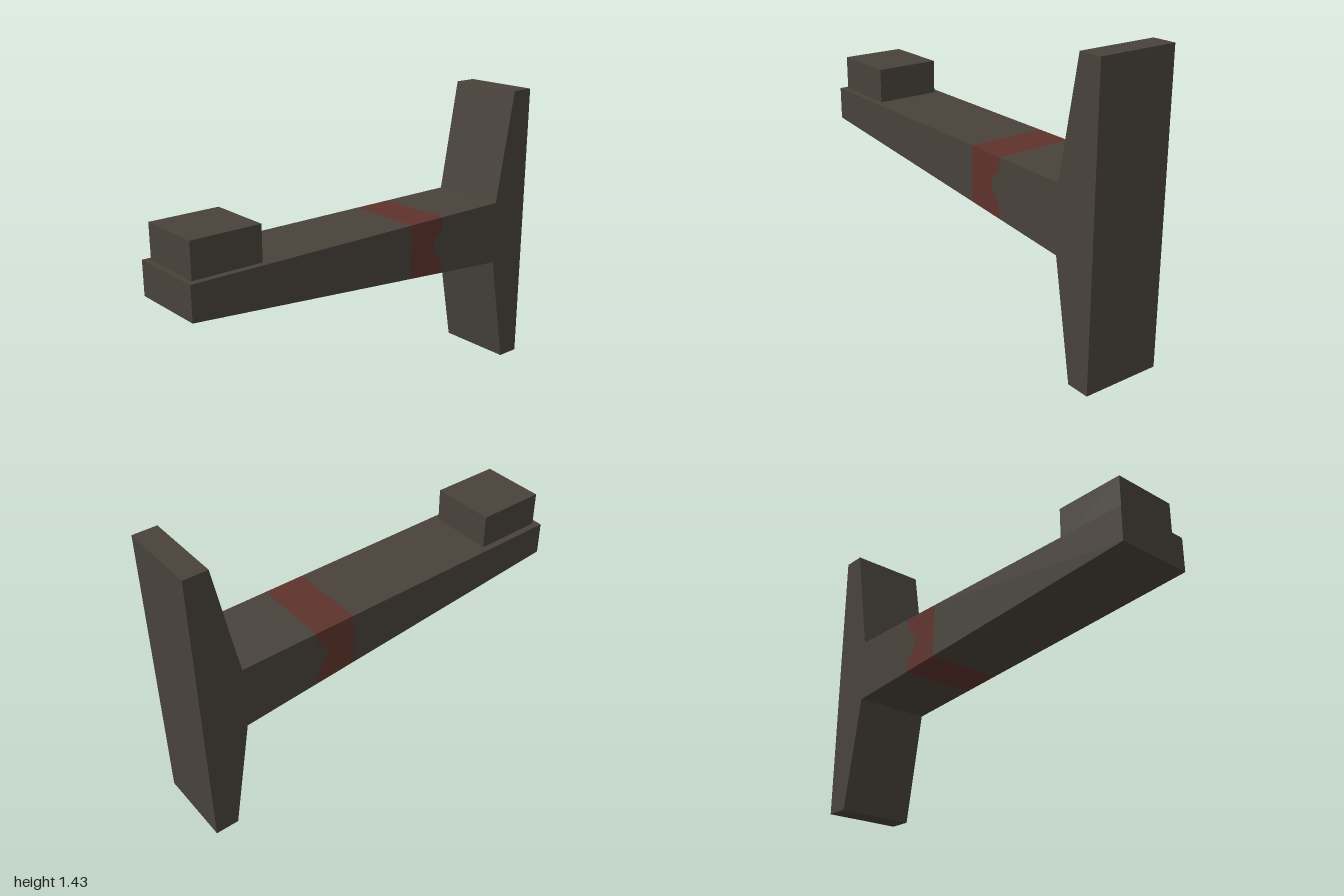
import * as THREE from 'three';

const DEPTH = 0.39;
const TOP = 0.875;
// underside height of the tapering beam
const under = (x) => 0.71 - ((x + 1) * 0.153) / 1.785;

export function createModel() {
  const model = new THREE.Group();
  const darkMetal = new THREE.MeshStandardMaterial({ color: 0x48423b });
  darkMetal.name = 'darkMetal';
  const rustRed = new THREE.MeshStandardMaterial({ color: 0x5e332c });
  rustRed.name = 'rustRed';

  // extrude a front-facing outline across the full depth
  const slab = (name, points, material) => {
    const shape = new THREE.Shape(points.map(([x, y]) => new THREE.Vector2(x, y)));
    const geometry = new THREE.ExtrudeGeometry(shape, { depth: DEPTH, bevelEnabled: false });
    geometry.translate(0, 0, -DEPTH / 2);
    const mesh = new THREE.Mesh(geometry, material);
    mesh.name = name;
    model.add(mesh);
  };

  // wavy boundary between the band and the root of the beam, bottom to top
  const wave = [
    [0.408, under(0.408)], [0.405, 0.63], [0.39, 0.665], [0.358, 0.705], [0.345, 0.745],
    [0.36, 0.775], [0.395, 0.805], [0.402, 0.83], [0.405, TOP],
  ];

  // beam in three pieces, the middle one painted
  slab('beamTip', [[-1, under(-1)], [0.2, under(0.2)], [0.2, TOP], [-1, TOP]], darkMetal);
  slab('paintedBand', [[0.2, under(0.2)], ...wave, [0.2, TOP]], rustRed);
  // beam root joined to the flared end plate
  slab('beamRootAndEndPlate', [
    [0.785, 0.557], [0.885, 0], [1, 0], [1, 1.43], [0.885, 1.43], [0.785, TOP],
    ...[...wave].reverse(),
  ], darkMetal);

  // block resting on the tip
  const block = new THREE.Mesh(new THREE.BoxGeometry(0.345, 0.17, 0.325), darkMetal);
  block.name = 'tipBlock';
  block.position.set(-0.802, TOP + 0.085, 0);
  model.add(block);

  return model;
}
